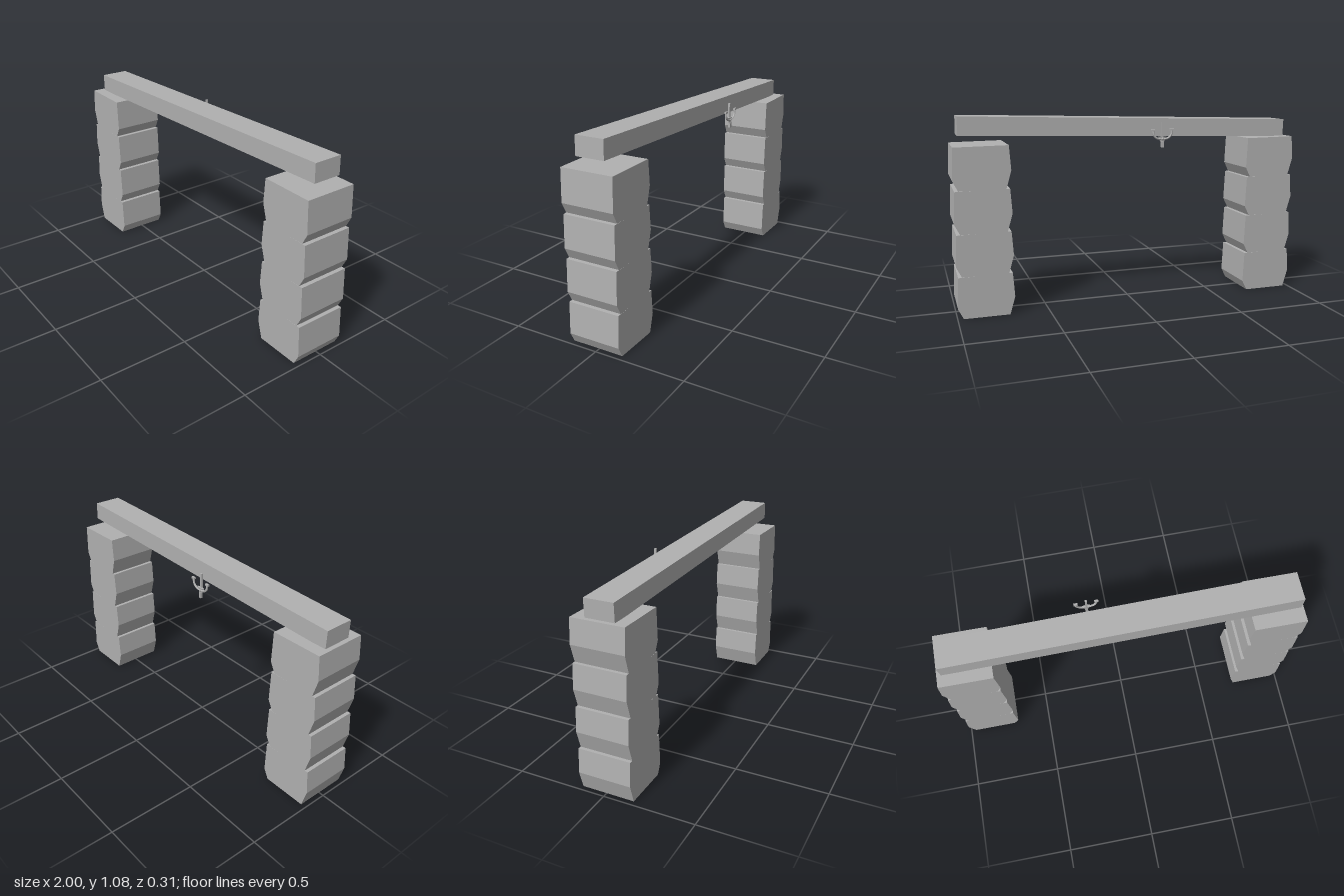
import * as THREE from 'three';

export function createModel() {
  const model = new THREE.Group();
  const stone = new THREE.MeshStandardMaterial({ color: 0xb0b0b0, flatShading: true });
  stone.name = 'stone grey';

  const add = (parent, geometry, name, x = 0, y = 0, z = 0) => {
    const mesh = new THREE.Mesh(geometry, stone);
    mesh.name = name;
    mesh.position.set(x, y, z);
    parent.add(mesh);
    return mesh;
  };

  // One rough block: bulging outline extruded front to back
  const outline = [[-0.125, 0], [0.125, 0], [0.153, 0.056], [0.145, 0.23],
    [-0.145, 0.234], [-0.154, 0.1]].map(([x, y]) => new THREE.Vector2(x, y));
  const blockGeometry = new THREE.ExtrudeGeometry(new THREE.Shape(outline), { depth: 0.292, bevelEnabled: false });

  // Two pillars of four stacked blocks
  for (const [name, x] of [['rightPillar', -0.846], ['leftPillar', 0.843]]) {
    const pillar = new THREE.Group();
    pillar.name = name;
    for (let i = 0; i < 4; i++) add(pillar, blockGeometry, 'block' + (i + 1), x, i * 0.2315, -0.137);
    model.add(pillar);
  }

  // Sloping beam
  const beam = add(model, new THREE.BoxGeometry(1.923, 0.101, 0.16), 'beam', -0.007, 1.0015, 0.01);
  beam.rotation.z = 0.0275;

  // Small three-pronged hook behind the beam
  const hook = new THREE.Group();
  hook.name = 'hook';
  hook.position.set(-0.16, 0, -0.143);
  model.add(hook);
  add(hook, new THREE.BoxGeometry(0.011, 0.105, 0.011), 'centreProng', 0, 0.978, 0.005);
  const body = add(hook, new THREE.CylinderGeometry(0.027, 0.009, 0.035, 8), 'hookBody', 0, 0.9325);
  body.scale.z = 0.3;
  add(hook, new THREE.BoxGeometry(0.015, 0.034, 0.013), 'hookTip', 0, 0.907);
  add(hook, new THREE.SphereGeometry(0.008, 8, 6), 'rivet', 0, 0.937, -0.004);
  for (const side of [-1, 1]) {
    const curve = new THREE.CatmullRomCurve3([[0.008, 0.935], [0.035, 0.942], [0.052, 0.96], [0.055, 0.985]]
      .map(([x, y]) => new THREE.Vector3(side * x, y, -0.003)));
    add(hook, new THREE.TubeGeometry(curve, 10, 0.006, 6), 'sideProng');
    add(hook, new THREE.BoxGeometry(0.022, 0.01, 0.012), 'prongEnd', side * 0.056, 0.987, -0.003);
  }
  return model;
}
